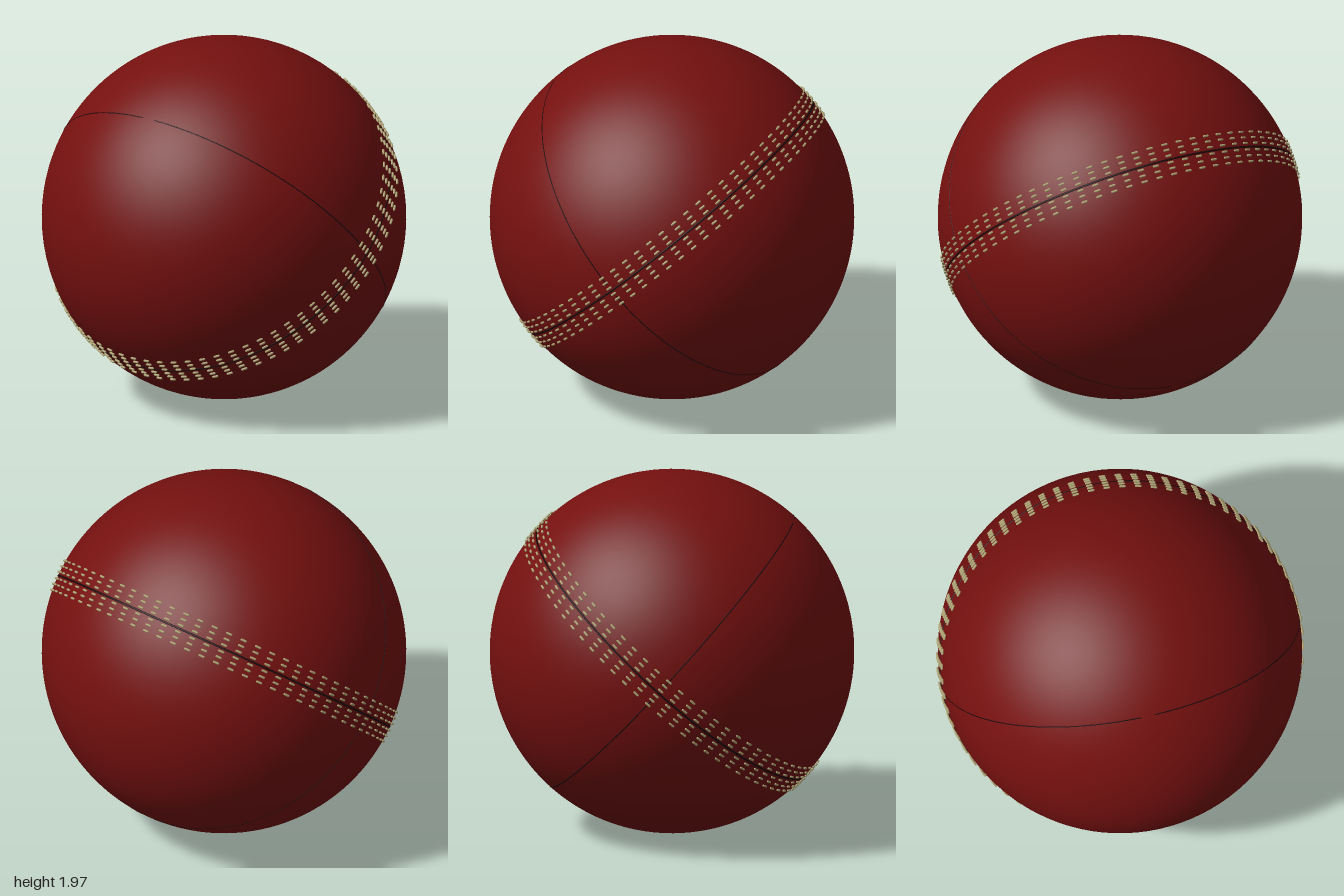
import * as THREE from 'three';
import { mergeGeometries } from 'three/addons/utils/BufferGeometryUtils.js';

const R = 0.985;
const STITCHES = 72;
const ROWS = [-0.085, -0.052, -0.019, 0.019, 0.052, 0.085];

const material = (name, color) => {
  const m = new THREE.MeshStandardMaterial({ color });
  m.name = name;
  return m;
};

export function createModel() {
  const leather = material('red leather', 0x74100f);
  const groove = material('dark seam', 0x1c0707);
  const thread = material('tan thread', 0xb3a878);

  const model = new THREE.Group();
  model.name = 'ball';
  const tilted = new THREE.Group();
  tilted.name = 'tiltedBall';
  tilted.position.y = 0.99;
  tilted.rotation.x = THREE.MathUtils.degToRad(42);
  model.add(tilted);

  const add = (name, geometry, mat) => {
    const mesh = new THREE.Mesh(geometry, mat);
    mesh.name = name;
    tilted.add(mesh);
    return mesh;
  };

  // Leather cover
  add('cover', new THREE.SphereGeometry(R, 96, 64), leather);

  // Main seam around the equator
  add('mainSeam', new THREE.TorusGeometry(R - 0.003, 0.0065, 8, 144).rotateX(Math.PI / 2), groove);

  // Thin cover joins, four arcs with gaps at the poles and at the main seam
  const gap = 0.04;
  const arcs = [0, 1, 2, 3].map((i) =>
    new THREE.TorusGeometry(R - 0.002, 0.0036, 6, 48, Math.PI / 2 - 2 * gap)
      .rotateZ((i * Math.PI) / 2 + gap));
  add('coverJoins', mergeGeometries(arcs), groove);

  // Rows of raised stitches on both sides of the main seam
  const stitch = new THREE.CapsuleGeometry(0.0065, 0.024, 3, 6).rotateZ(Math.PI / 2);
  ROWS.forEach((offset, row) => {
    const stitches = [];
    for (let i = 0; i < STITCHES; i++) {
      stitches.push(stitch.clone()
        .translate(0, 0, R + 0.007)
        .rotateX(-Math.asin(offset / R))
        .rotateY((i / STITCHES) * Math.PI * 2));
    }
    add('stitchRow' + (row + 1), mergeGeometries(stitches), thread);
  });

  return model;
}
